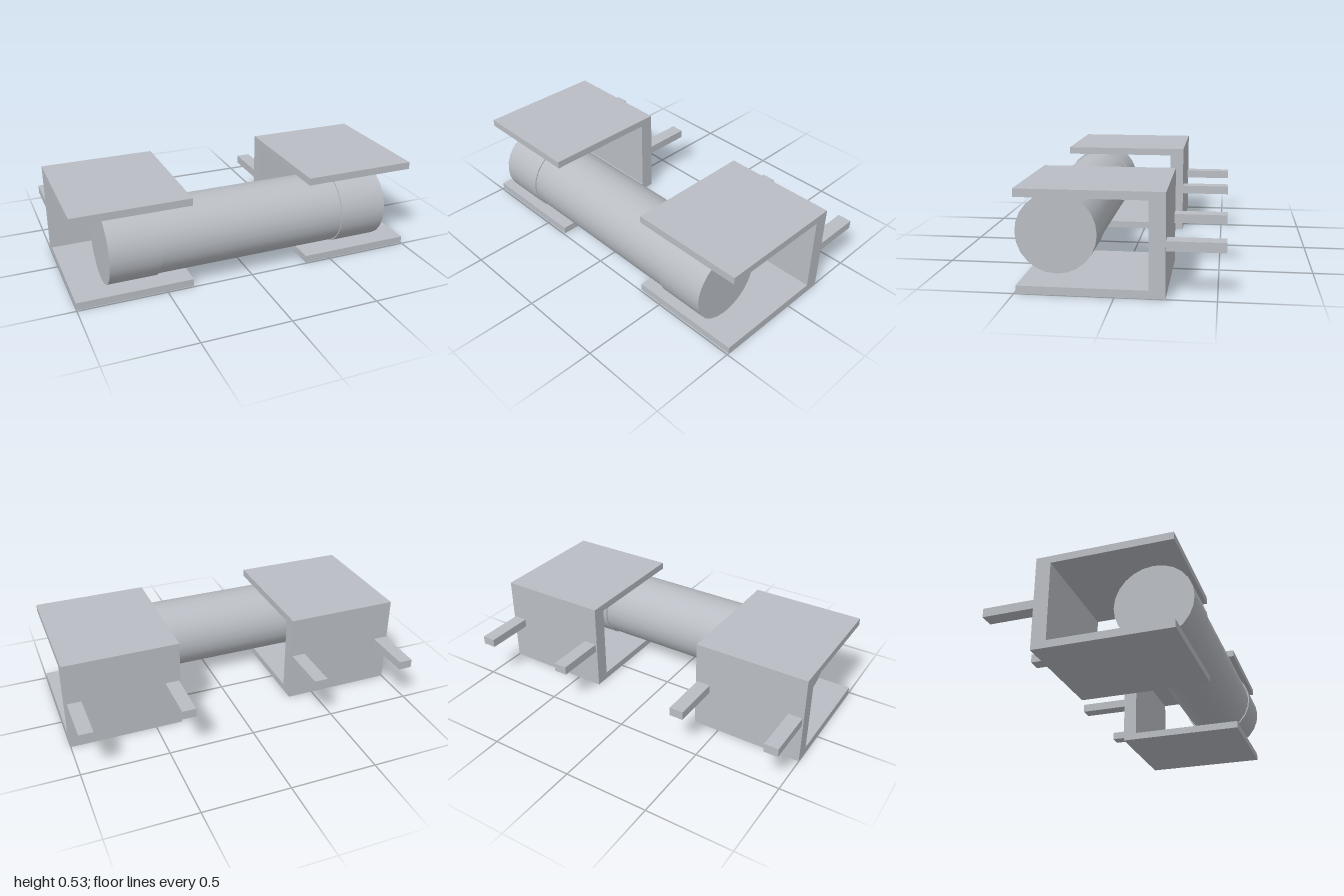
import * as THREE from 'three';

export function createModel() {
  const model = new THREE.Group();
  model.name = 'fuseInHolder';
  const metal = new THREE.MeshStandardMaterial({ color: 0xbabec4 });
  metal.name = 'light grey metal';

  const add = (name, geometry, x, y, z, parent = model) => {
    const mesh = new THREE.Mesh(geometry, metal);
    mesh.name = name;
    mesh.position.set(x, y, z);
    parent.add(mesh);
    return mesh;
  };

  const axisY = 0.265, axisZ = 0.326;

  // Cylinder lying along x
  const rod = (name, radius, length, x) => {
    const geometry = new THREE.CylinderGeometry(radius, radius, length, 24);
    geometry.rotateZ(Math.PI / 2);
    return add(name, geometry, x, axisY, axisZ);
  };

  // Fuse body with a slightly wider cap at each end
  rod('fuseTube', 0.206, 1.09, 0);

  // C-shaped clip outline, drawn as (z, y), open to the front
  const outline = new THREE.Shape([
    [-0.25, 0], [0.49, 0], [0.49, 0.042], [-0.168, 0.042],
    [-0.168, 0.488], [0.49, 0.488], [0.49, 0.53], [-0.25, 0.53],
  ].map(([z, y]) => new THREE.Vector2(z, y)));
  const clipWidth = 0.654;
  const clipGeometry = new THREE.ExtrudeGeometry(outline, { depth: clipWidth, bevelEnabled: false });
  clipGeometry.translate(0, 0, -clipWidth / 2);
  clipGeometry.rotateY(-Math.PI / 2); // outline z to world z, extrusion along x
  clipGeometry.rotateX(0);

  const pinGeometry = new THREE.BoxGeometry(0.08, 0.05, 0.29);

  for (const [side, label] of [[1, 'left'], [-1, 'right']]) {
    rod(label + 'EndCap', 0.213, 0.28, side * 0.68);

    const holder = new THREE.Group();
    holder.name = label + 'Holder';
    model.add(holder);
    add(label + 'Clip', clipGeometry, side * 0.673, 0, 0, holder);

    // Two solder pins behind the clip
    add(label + 'OuterPin', pinGeometry, side * 0.952, axisY, -0.395, holder);
    add(label + 'InnerPin', pinGeometry, side * 0.395, axisY, -0.395, holder);
  }
  return model;
}
